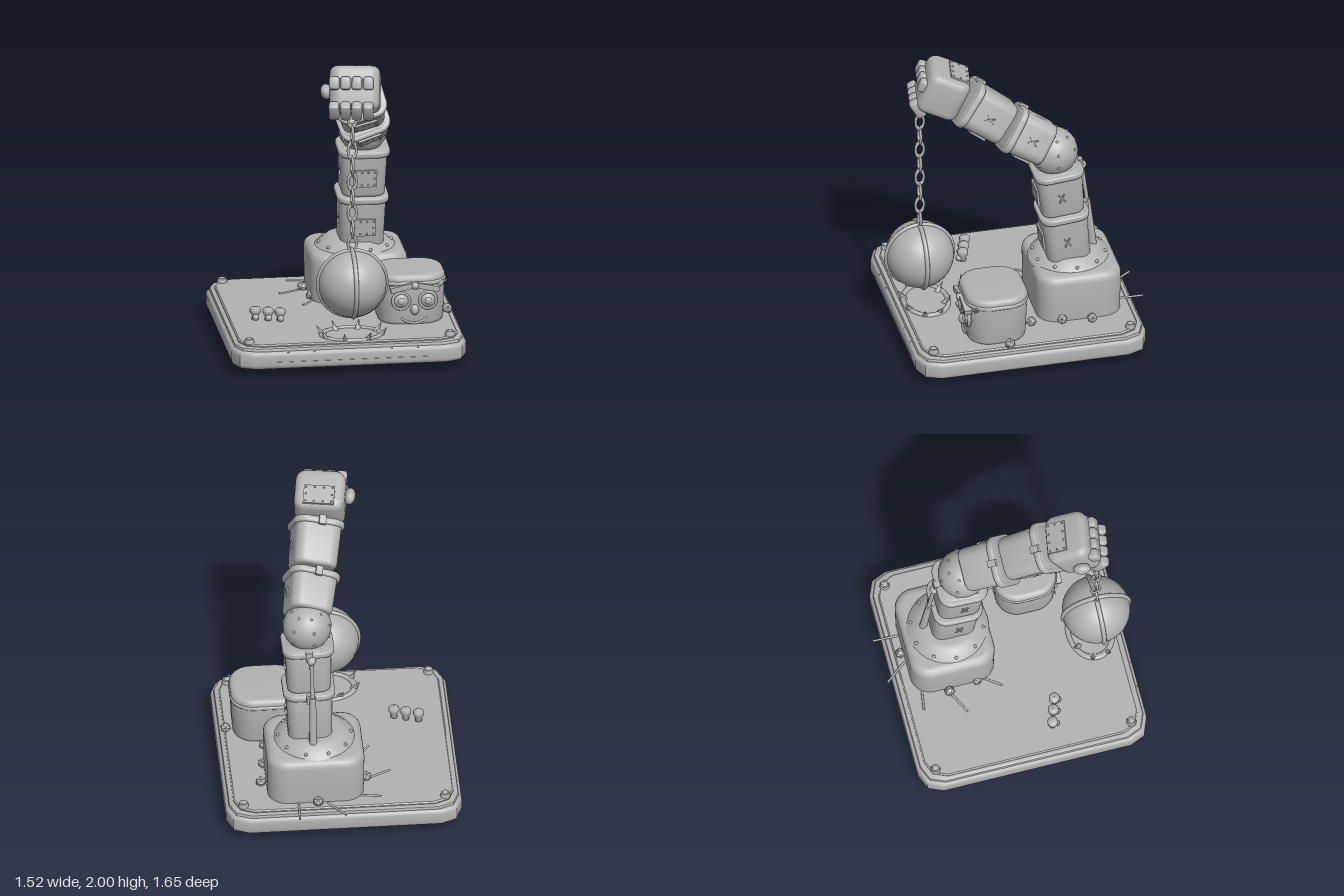
import * as THREE from 'three';
import { toCreasedNormals } from 'three/addons/utils/BufferGeometryUtils.js';

const clay = new THREE.MeshStandardMaterial({ color: 0xb2b2b2 });
clay.name = 'clay grey';
const V = (x, y, z) => new THREE.Vector3(x, y, z);

function add(parent, name, geo, pos = [0, 0, 0], rot = [0, 0, 0], scale = [1, 1, 1]) {
  const m = new THREE.Mesh(geo, clay);
  m.name = name;
  m.position.set(...pos);
  m.rotation.set(...rot);
  m.scale.set(...scale);
  parent.add(m);
  return m;
}

function group(parent, name, pos = [0, 0, 0]) {
  const g = new THREE.Group();
  g.name = name;
  g.position.set(...pos);
  parent.add(g);
  return g;
}

// Upright prism from y = 0 to h, rounded (or chamfered) corners, bevelled rims, optional taper
function prism(w, d, corner, h, bevel, { curve = 6, taper = 1, steps = 4 } = {}) {
  const x = w / 2 - corner, y = d / 2 - corner, s = new THREE.Shape();
  s.moveTo(w / 2, -y);
  s.absarc(x, y, corner, 0, Math.PI / 2);
  s.absarc(-x, y, corner, Math.PI / 2, Math.PI);
  s.absarc(-x, -y, corner, Math.PI, Math.PI * 1.5);
  s.absarc(x, -y, corner, Math.PI * 1.5, Math.PI * 2);
  const g = new THREE.ExtrudeGeometry(s, {
    depth: h - 2 * bevel, curveSegments: curve, bevelThickness: bevel,
    bevelSize: bevel, bevelOffset: -bevel, bevelSegments: steps,
  });
  g.rotateX(-Math.PI / 2).translate(0, bevel, 0);
  const p = g.attributes.position;
  for (let i = 0; i < p.count; i++) {
    const k = 1 + (taper - 1) * (1 - p.getY(i) / h);
    p.setXYZ(i, p.getX(i) * k, p.getY(i), p.getZ(i) * k);
  }
  return toCreasedNormals(g, 0.7);
}

function rod(parent, name, a, b, r0, r1 = r0) {
  const d = b.clone().sub(a);
  const m = add(parent, name, new THREE.CylinderGeometry(r1, r0, d.length(), 10), a.clone().add(b).multiplyScalar(0.5).toArray());
  m.quaternion.setFromUnitVectors(V(0, 1, 0), d.normalize());
}

const rivetGeo = new THREE.SphereGeometry(0.009, 8, 6);
const boulderGeo = new THREE.IcosahedronGeometry(0.036, 0);

// Riveted plate in the local xy plane, facing +z
function plate(parent, pos, rot, w, h) {
  const g = group(parent, 'rivetedPlate', pos);
  g.rotation.set(...rot);
  add(g, 'plate', new THREE.BoxGeometry(w, h, 0.016));
  for (const s of [-1, 1]) {
    for (let i = 0; i < 4; i++)
      add(g, 'plateRivet', rivetGeo, [(i / 3 - 0.5) * (w - 0.03), s * (h / 2 - 0.015), 0.008], [0, 0, 0], [0.7, 0.7, 0.7]);
    add(g, 'plateRivet', rivetGeo, [s * (w / 2 - 0.015), 0, 0.008], [0, 0, 0], [0.7, 0.7, 0.7]);
  }
}

// Arm block between two points with collar, plate, clip and side scratches
function segment(parent, a, b) {
  const y = b.clone().sub(a), len = y.length();
  y.normalize();
  const x = y.clone().cross(V(0, 0, 1)).normalize(), z = x.clone().cross(y);
  const g = group(parent, 'armSegment', a.toArray());
  g.quaternion.setFromRotationMatrix(new THREE.Matrix4().makeBasis(x, y, z));
  add(g, 'segmentBody', prism(0.3, 0.3, 0.075, len, 0.025, { taper: 0.94 }));
  add(g, 'collar', prism(0.335, 0.325, 0.085, 0.045, 0.015), [0, len - 0.05, 0]);
  add(g, 'collarClip', new THREE.BoxGeometry(0.045, 0.06, 0.03), [0, len - 0.028, -0.16]);
  plate(g, [0, len * 0.42, 0.15], [0, 0, 0], 0.155, 0.115);
  for (const s of [-1, 1]) for (const t of [-0.5, 0.6])
    add(g, 'scratch', new THREE.BoxGeometry(0.012, 0.07, 0.009), [s * 0.148, len * 0.45, 0.01], [t, 0, 0]);
}

function buildBase(root) {
  const g = group(root, 'base');
  add(g, 'slab', prism(1.52, 1.52, 0.14, 0.12, 0.03, { curve: 1 }), [0, 0.06, 0]);
  add(g, 'slabStep', prism(1.48, 1.48, 0.135, 0.05, 0.012, { curve: 1, steps: 2 }), [0, 0.15, 0]);
  add(g, 'topPlate', prism(1.42, 1.42, 0.13, 0.03, 0.008, { curve: 1, steps: 1 }), [0, 0.185, 0]);
  add(g, 'frontStrip', new THREE.BoxGeometry(1, 0.014, 0.012), [0, 0.105, 0.758]);
  for (const x of [-0.42, -0.25, 0.25, 0.42])
    add(g, 'frontScratch', new THREE.BoxGeometry(0.035, 0.008, 0.01), [x, 0.165, 0.747], [0, 0, 0.5]);
  for (const x of [-0.65, 0.65]) for (const z of [-0.65, 0.65]) {
    add(g, 'cornerBolt', new THREE.CylinderGeometry(0.028, 0.034, 0.03, 8), [x, 0.228, z]);
    add(g, 'boltCap', new THREE.SphereGeometry(0.02, 10, 6), [x, 0.24, z], [0, 0, 0], [1, 0.5, 1]);
  }
  // Ground cracks behind the pedestal
  const cracks = [[0, -0.8, 0.11, -0.66], [0.3, -0.82, 0.295, -0.65], [-0.24, -0.62, -0.11, -0.6], [-0.32, -0.35, -0.18, -0.42], [-0.2, -0.09, -0.12, -0.2]];
  for (const [x0, z0, x1, z1] of cracks) rod(g, 'crack', V(x0, 0.216, z0), V(x1, 0.216, z1), 0.007);
  const rocks = [[0.52, -0.43], [-0.16, -0.43], [0.49, -0.24], [-0.13, -0.24], [0.17, -0.67], [0.47, -0.04], [0.7, 0.155]];
  for (const [x, z] of rocks) add(g, 'rock', boulderGeo, [x, 0.235, z], [0, x * 9, 0]);
  // Three small pegs
  const pegGeo = new THREE.LatheGeometry([[0.001, 0], [0.024, 0], [0.02, 0.03], [0.035, 0.055], [0.035, 0.075], [0.024, 0.088], [0.001, 0.09]].map(p => new THREE.Vector2(...p)), 14);
  for (const [x, z] of [[-0.545, 0.155], [-0.465, 0.18], [-0.39, 0.205]]) {
    add(g, 'peg', pegGeo, [x, 0.208, z]);
    add(g, 'pegKnob', new THREE.SphereGeometry(0.022, 10, 8), [x, 0.235, z + 0.025]);
  }
  // Crater with splinters
  add(g, 'craterRim', new THREE.TorusGeometry(0.19, 0.022, 8, 32), [0.025, 0.213, 0.55], [Math.PI / 2, 0, 0], [1, 0.75, 0.7]);
  for (let i = 0; i < 8; i++) {
    const t = i * 0.785 + 0.3;
    add(g, 'splinter', new THREE.ConeGeometry(0.024, 0.085, 5), [0.025 + Math.cos(t) * 0.21, 0.238, 0.56 + Math.sin(t) * 0.145], [Math.sin(t) * 0.6, 0, -Math.cos(t) * 0.6]);
  }
}

function buildArm(root) {
  const g = group(root, 'arm');
  add(g, 'pedestal', prism(0.63, 0.56, 0.13, 0.535, 0.055, { taper: 0.97 }), [0.175, 0, -0.375]);
  const dome = [[0.001, 0.09], [0.15, 0.09], [0.19, 0.08], [0.225, 0.05], [0.265, 0.02], [0.27, 0], [0.26, -0.03]].reverse();
  add(g, 'shoulderDome', new THREE.LatheGeometry(dome.map(p => new THREE.Vector2(...p)), 32), [0.17, 0.51, -0.36]);
  for (let i = 0; i < 10; i++)
    add(g, 'domeRivet', rivetGeo, [0.17 + Math.cos(i * 0.628) * 0.235, 0.555, -0.36 + Math.sin(i * 0.628) * 0.235], [0, 0, 0], [1.3, 1.3, 1.3]);
  segment(g, V(0.2, 0.56, -0.335), V(0.205, 0.92, -0.3));
  segment(g, V(0.205, 0.915, -0.295), V(0.208, 1.24, -0.265));
  segment(g, V(0.203, 1.395, -0.2), V(0.155, 1.535, 0.035));
  segment(g, V(0.148, 1.56, 0.06), V(0.1, 1.74, 0.315));
  add(g, 'elbow', new THREE.SphereGeometry(0.157, 28, 20), [0.207, 1.34, -0.25]);
  for (const e of [-0.3, 0.3, 0.9]) for (let i = 0; i < 7; i++) {
    const t = i * 0.898, r = 0.157 * Math.cos(e);
    add(g, 'elbowRivet', rivetGeo, [0.207 + Math.cos(t) * r, 1.34 + Math.sin(e) * 0.157, -0.25 + Math.sin(t) * r]);
  }
  // Rear piston
  rod(g, 'pistonSleeve', V(0.19, 0.58, -0.515), V(0.19, 0.93, -0.475), 0.026, 0.022);
  rod(g, 'pistonRod', V(0.19, 0.92, -0.477), V(0.195, 1.2, -0.44), 0.013);
  add(g, 'pistonJoint', new THREE.SphereGeometry(0.03, 14, 10), [0.195, 1.2, -0.44]);
}

function buildFist(root) {
  const g = group(root, 'fist', [0.063, 1.83, 0.45]);
  g.rotation.set(-0.42, -0.17, 0, 'YXZ');
  add(g, 'palm', prism(0.325, 0.285, 0.07, 0.29, 0.05), [0, -0.145, 0]);
  plate(g, [0, 0.147, -0.055], [-Math.PI / 2, 0, 0], 0.2, 0.13);
  const knuckle = prism(0.067, 0.07, 0.02, 0.085, 0.018), tip = prism(0.067, 0.065, 0.02, 0.13, 0.018);
  for (let i = 0; i < 4; i++) {
    const x = (i - 1.5) * 0.073 - 0.02;
    add(g, 'knuckle', knuckle, [x, -0.02, 0.145]);
    add(g, 'fingertip', tip, [x, -0.19, 0.06], [0.95, 0, 0]);
  }
  add(g, 'thumb', new THREE.SphereGeometry(0.05, 16, 12), [-0.185, -0.02, 0.035], [0.3, 0, 0.2], [0.75, 1, 1.15]);
}

function buildWreckingBall(root) {
  const g = group(root, 'wreckingBall', [0.025, 0.57, 0.59]);
  add(g, 'ball', new THREE.SphereGeometry(0.22, 36, 24));
  for (const r of [0, Math.PI / 2])
    add(g, 'ballBand', new THREE.TorusGeometry(0.22, 0.015, 8, 48), [0, 0, 0], [0, r, 0]);
  const link = new THREE.TorusGeometry(0.028, 0.009, 8, 16);
  for (let i = 0; i < 9; i++)
    add(g, 'chainLink', link, [0, 0.265 + i * 0.105, 0], [0, (i % 2) * Math.PI / 2 + 0.1, 0], [1, 1.85, 1]);
}

function buildStump(root) {
  const g = group(root, 'stumpFace', [0.445, 0.2, 0.205]);
  add(g, 'stumpBody', prism(0.45, 0.41, 0.15, 0.345, 0.035, { curve: 8, taper: 0.93 }));
  add(g, 'stumpRim', prism(0.46, 0.42, 0.155, 0.03, 0.012, { curve: 8 }), [0, 0.275, 0]);
  for (const s of [-1, 1]) {
    const x = 0.01 + s * 0.087;
    add(g, 'eyeball', new THREE.SphereGeometry(0.052, 20, 14), [x, 0.175, 0.185], [0, 0, 0], [1, 1, 0.7]);
    add(g, 'eyeRing', new THREE.TorusGeometry(0.054, 0.011, 8, 24), [x, 0.175, 0.195]);
    add(g, 'pupil', new THREE.SphereGeometry(0.024, 14, 10), [x, 0.175, 0.215], [0, 0, 0], [1, 1, 0.6]);
    add(g, 'brow', new THREE.BoxGeometry(0.145, 0.035, 0.05), [x, 0.268, 0.205], [0, 0, -s * 0.22]);
    add(g, 'horn', new THREE.ConeGeometry(0.025, 0.07, 6), [s * 0.2, 0.285, 0.16], [0.3, 0, -s * 1.1]);
  }
  add(g, 'browKnob', new THREE.SphereGeometry(0.025, 12, 8), [0.01, 0.283, 0.225]);
  add(g, 'nose', new THREE.SphereGeometry(0.027, 14, 10), [0.01, 0.115, 0.205], [0, 0, 0], [1, 1.3, 1]);
  const smile = new THREE.QuadraticBezierCurve3(V(-0.08, 0.06, 0.188), V(0.01, -0.012, 0.205), V(0.1, 0.06, 0.188));
  add(g, 'mouth', new THREE.TubeGeometry(smile, 16, 0.008, 8));
}

export function createModel() {
  const root = new THREE.Group();
  root.name = 'wreckingArm';
  buildBase(root);
  buildArm(root);
  buildFist(root);
  buildWreckingBall(root);
  buildStump(root);
  return root;
}
